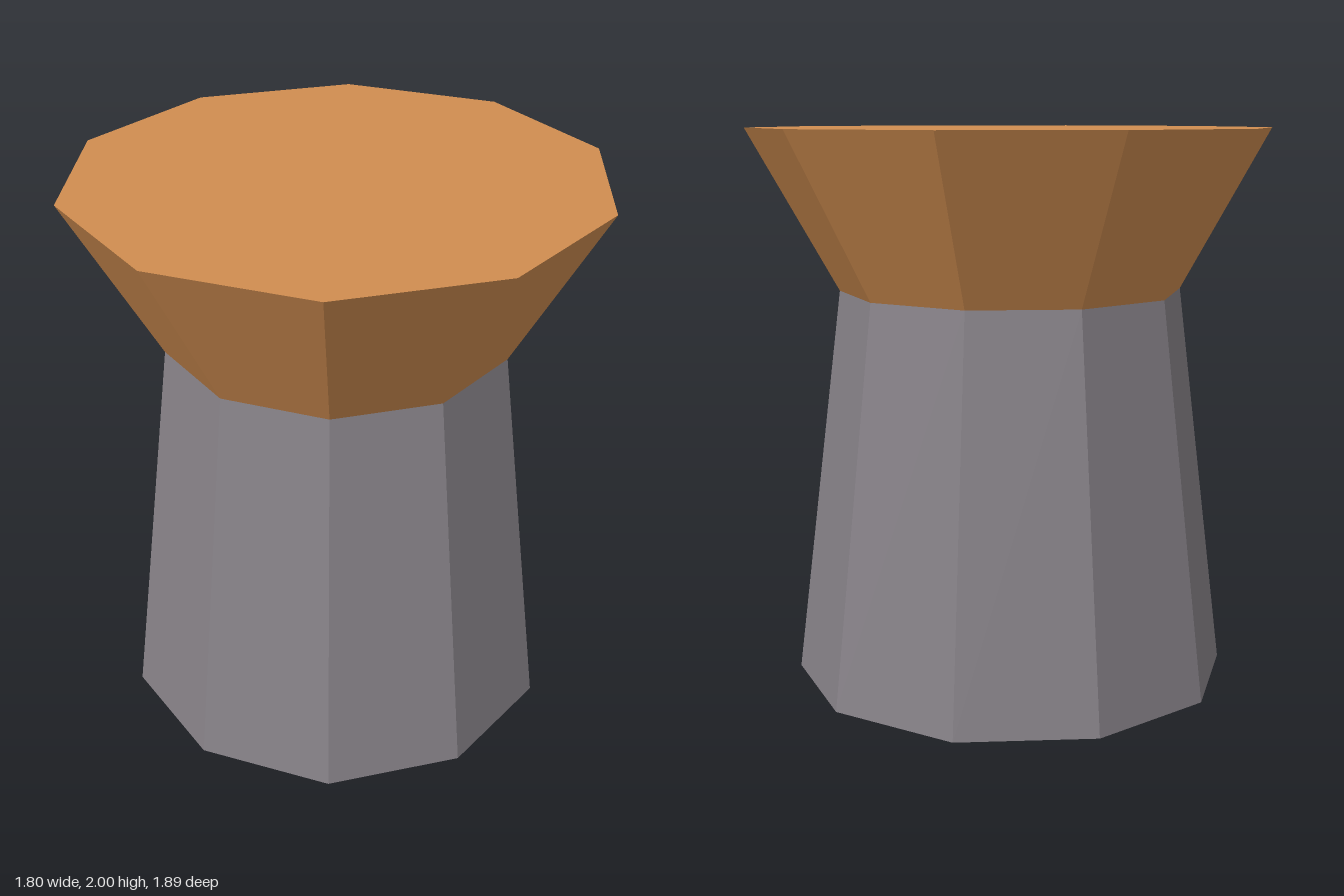
import * as THREE from 'three';

const SIDES = 10;

// Faceted section between two heights; its first corner points to +z
function section(name, topRadius, bottomRadius, y0, y1, material) {
  const geometry = new THREE.CylinderGeometry(topRadius, bottomRadius, y1 - y0, SIDES).toNonIndexed();
  geometry.computeVertexNormals();
  const mesh = new THREE.Mesh(geometry, material);
  mesh.name = name;
  mesh.position.y = (y0 + y1) / 2;
  return mesh;
}

export function createModel() {
  const stone = new THREE.MeshStandardMaterial({ color: 0x878288 });
  stone.name = 'greyStone';
  const wood = new THREE.MeshStandardMaterial({ color: 0xd08d50 });
  wood.name = 'orangeWood';

  const model = new THREE.Group();
  model.name = 'pedestal';
  const waist = 1.42;

  // Tapering base and flared top meet at the waist
  model.add(section('base', 0.62, 0.795, 0, waist, stone));
  model.add(section('flaredTop', 0.945, 0.62, waist, 2, wood));
  return model;
}
